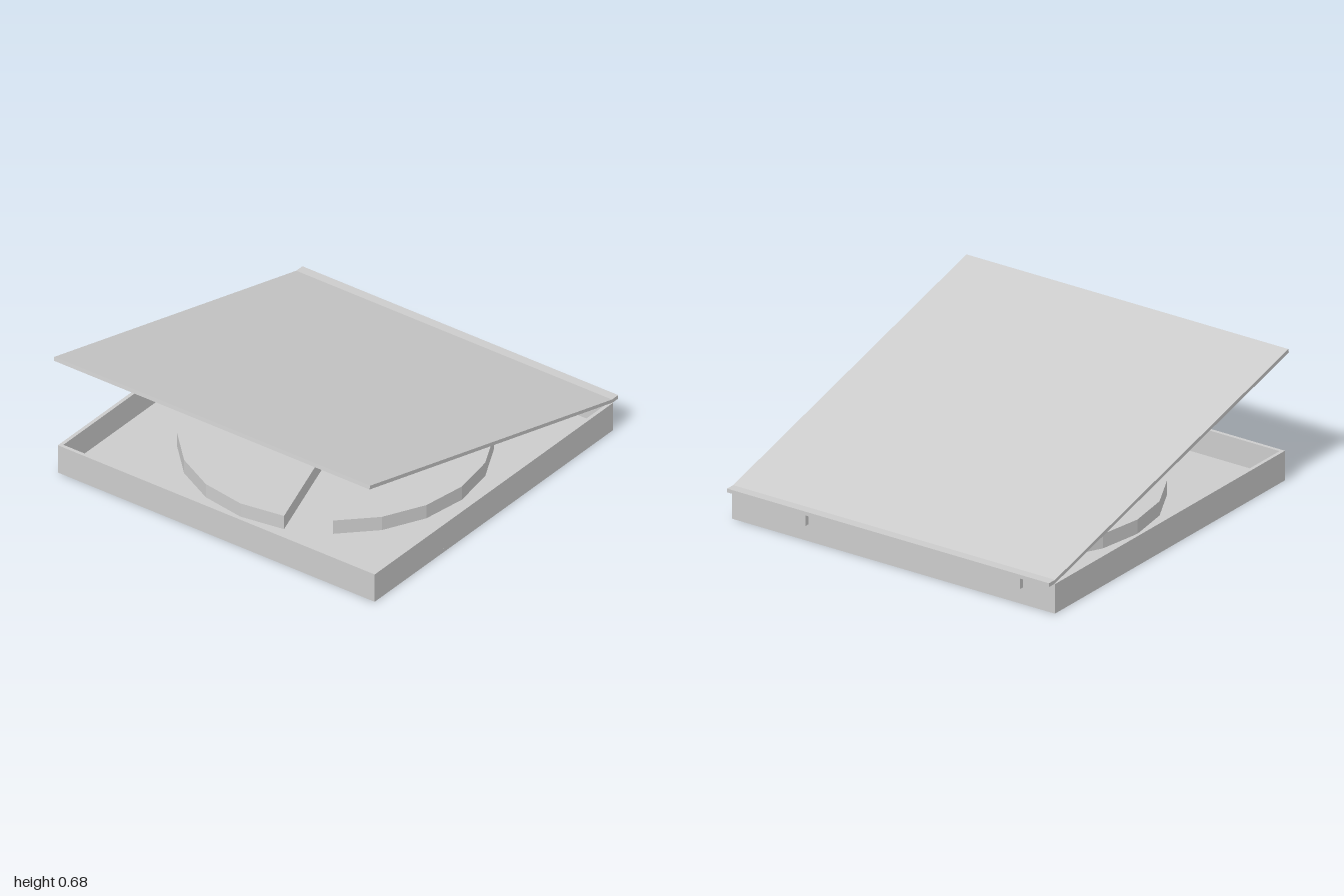
import * as THREE from 'three';

const material = new THREE.MeshStandardMaterial({ color: 0xcccccc, flatShading: true });

function add(group, name, geometry, x = 0, y = 0, z = 0) {
  const mesh = new THREE.Mesh(geometry, material);
  mesh.name = name;
  mesh.position.set(x, y, z);
  group.add(mesh);
  return mesh;
}

// Extrude a flat outline, given as [x, y] pairs
function extrude(points, depth) {
  const shape = new THREE.Shape(points.map(([x, y]) => new THREE.Vector2(x, y)));
  return new THREE.ExtrudeGeometry(shape, { depth, bevelEnabled: false });
}

export function createModel() {
  const model = new THREE.Group();
  model.name = 'openFoodBox';

  const size = 1.918, half = size / 2, height = 0.157, wall = 0.019, midZ = 0.004;

  // Tray: floor plus a thin wall frame
  const tray = new THREE.Group();
  tray.name = 'tray';
  tray.position.z = midZ;
  model.add(tray);
  add(tray, 'floor', new THREE.BoxGeometry(size, wall, size), 0, wall / 2, 0);

  const wallHeight = height - wall, wallY = wall + wallHeight / 2;
  for (const side of [-1, 1]) {
    const offset = side * (half - wall / 2);
    add(tray, side > 0 ? 'frontWall' : 'backWall',
      new THREE.BoxGeometry(size, wallHeight, wall), 0, wallY, offset);
    add(tray, side > 0 ? 'leftWall' : 'rightWall',
      new THREE.BoxGeometry(wall, wallHeight, size - 2 * wall), offset, wallY, 0);
  }

  // Pie: a 20-sided disc with one wedge cut out towards the front
  const sides = 20, radius = 0.766, step = (Math.PI * 2) / sides;
  const outline = [[0, 0]];
  for (let i = 2; i <= sides + 1; i++) {
    outline.push([radius * Math.sin(i * step), -radius * Math.cos(i * step)]);
  }
  add(model, 'pie', extrude(outline, 0.076).rotateX(-Math.PI / 2), 0, wall, midZ);

  // Lid: sloping panel with a level strip along the back, drawn from the side as [z, y]
  const lidWidth = 1.912;
  const profile = [[-1, 0.157], [-0.955, 0.157], [1, 0.664], [0.996, 0.684], [-0.95, 0.177], [-1, 0.177]];
  const lid = extrude(profile.map(([z, y]) => [-z, y]), lidWidth).rotateY(Math.PI / 2);
  add(model, 'lid', lid, -lidWidth / 2, 0, 0);

  // Tabs hanging behind the back wall
  for (const side of [-1, 1]) {
    add(model, side > 0 ? 'leftHingeTab' : 'rightHingeTab',
      new THREE.BoxGeometry(0.266, 0.067, 0.025), side * 0.637, 0.1235, -0.9675);
  }

  return model;
}
